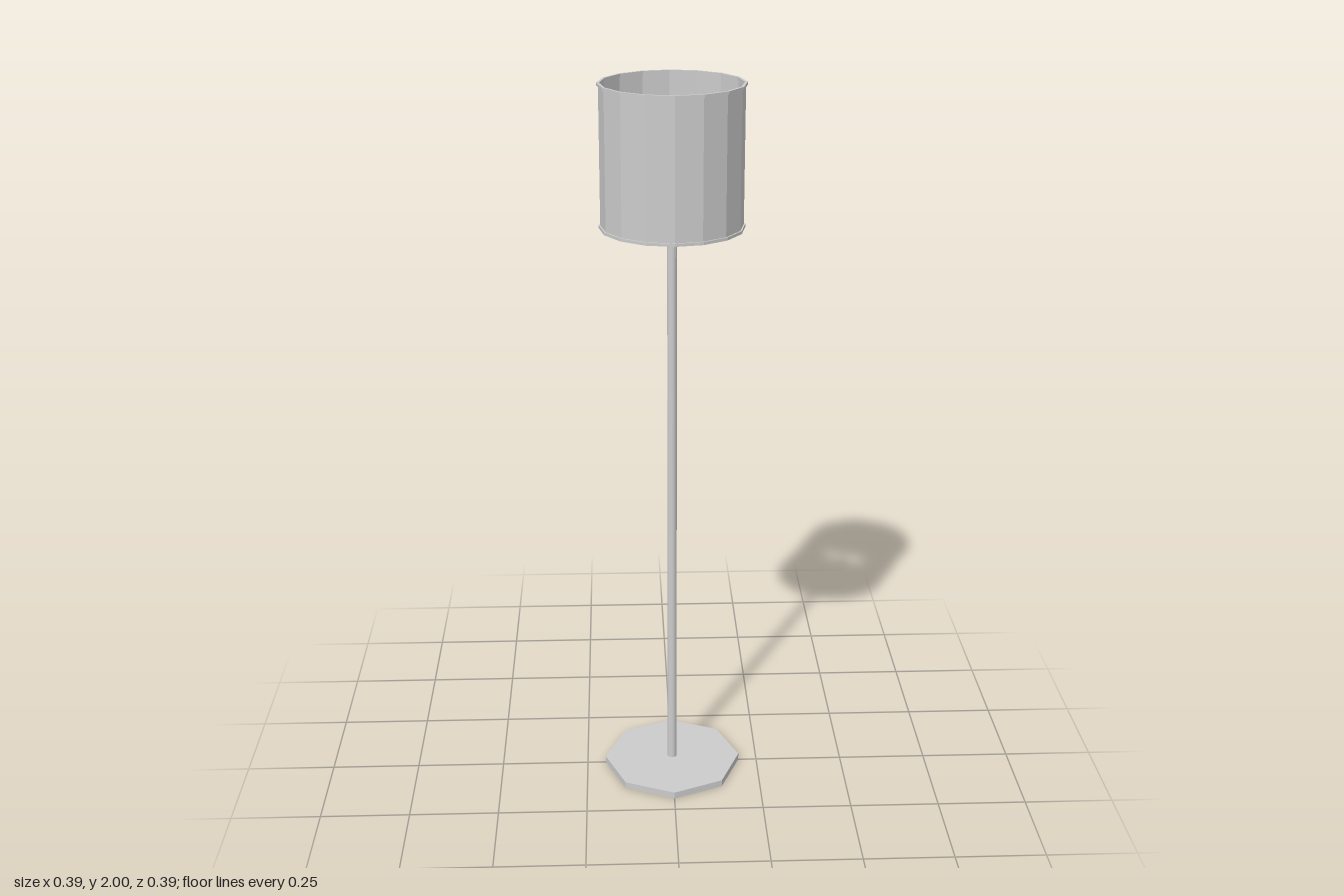
import * as THREE from 'three';

export function createModel() {
  const lamp = new THREE.Group();
  lamp.name = 'floorLamp';
  const solid = new THREE.MeshStandardMaterial({ color: 0xcccccc, flatShading: true });
  const thin = new THREE.MeshStandardMaterial({ color: 0xcccccc, flatShading: true, side: THREE.DoubleSide });

  const SIDES = 16;
  const SHADE_BOTTOM = 1.625, SHADE_TOP = 2;

  function add(name, geometry, material, y) {
    const mesh = new THREE.Mesh(geometry, material);
    mesh.name = name;
    mesh.position.y = y;
    lamp.add(mesh);
  }

  // Octagonal foot plate
  add('base', new THREE.CylinderGeometry(0.197, 0.197, 0.02, 8), solid, 0.01);

  // Slim pole, ending inside the shade
  const poleTop = 1.82;
  add('pole', new THREE.CylinderGeometry(0.013, 0.013, poleTop - 0.02, SIDES), solid, (poleTop + 0.02) / 2);

  // Open drum shade
  const height = SHADE_TOP - SHADE_BOTTOM;
  add('shade', new THREE.CylinderGeometry(0.187, 0.187, height - 0.006, SIDES, 1, true), thin, SHADE_BOTTOM + height / 2);

  // Narrow trim rings on both edges of the shade
  const r0 = 0.184, r1 = 0.191, h = 0.004;
  const section = [[r0, -h], [r1, -h], [r1, h], [r0, h], [r0, -h]].map(([x, y]) => new THREE.Vector2(x, y));
  const rim = new THREE.LatheGeometry(section, SIDES);
  add('lowerRim', rim, thin, SHADE_BOTTOM + h);
  add('upperRim', rim, thin, SHADE_TOP - h);

  return lamp;
}
